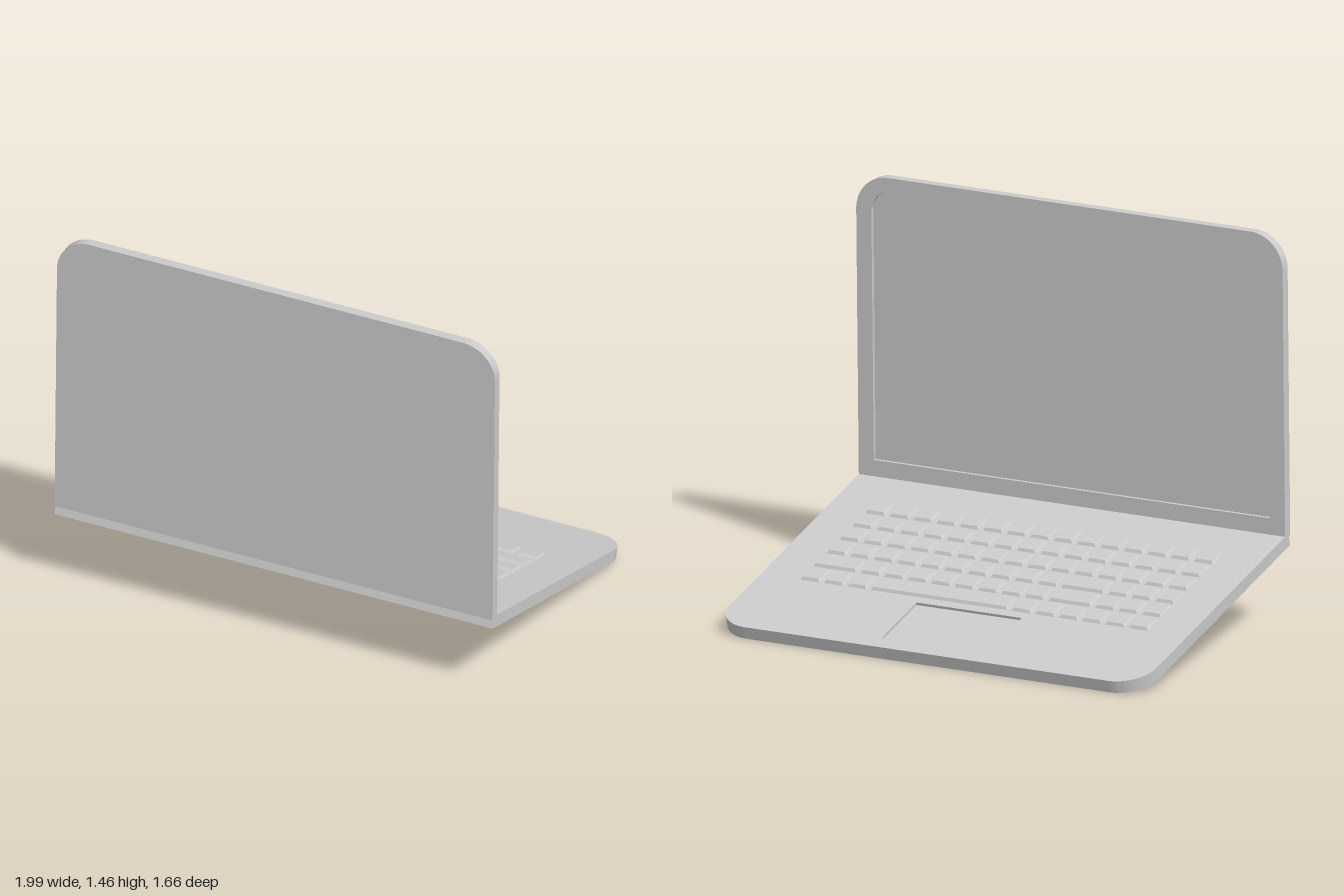
import * as THREE from 'three';
import { toCreasedNormals } from 'three/addons/utils/BufferGeometryUtils.js';

const WIDTH = 1.74, DEPTH = 1.133, LID_HEIGHT = 1.122, CORNER = 0.13;
const BASE_T = 0.047, LID_T = 0.037, RECESS = 0.01;
const material = new THREE.MeshStandardMaterial({ color: 0xcccccc });

// Rectangle outline with separate radii for the lower (r0) and upper (r1) corners
function outline(path, x0, y0, x1, y1, r0, r1) {
  path.moveTo(x0 + r0, y0);
  path.lineTo(x1 - r0, y0);
  if (r0) path.absarc(x1 - r0, y0 + r0, r0, -Math.PI / 2, 0);
  path.lineTo(x1, y1 - r1);
  if (r1) path.absarc(x1 - r1, y1 - r1, r1, 0, Math.PI / 2);
  path.lineTo(x0 + r1, y1);
  if (r1) path.absarc(x0 + r1, y1 - r1, r1, Math.PI / 2, Math.PI);
  path.lineTo(x0, y0 + r0);
  if (r0) path.absarc(x0 + r0, y0 + r0, r0, Math.PI, Math.PI * 1.5);
  return path;
}

// Flat panel with two rounded far corners, spanning z0..z1, with an optional opening
function panel(height, z0, z1, hole) {
  const shape = outline(new THREE.Shape(), -WIDTH / 2, 0, WIDTH / 2, height, 0, CORNER);
  if (hole) shape.holes.push(hole);
  const geo = new THREE.ExtrudeGeometry(shape, { depth: z1 - z0, bevelEnabled: false, curveSegments: 10 });
  geo.translate(0, 0, z0);
  return toCreasedNormals(geo, 0.6);
}

function add(parent, name, geo) {
  const mesh = new THREE.Mesh(geo, material);
  mesh.name = name;
  parent.add(mesh);
  return mesh;
}

// Keycap: a low box whose top is drawn in to give sloping sides
function keyGeometry(w, d) {
  const h = 0.01, inset = 0.008;
  const geo = new THREE.BoxGeometry(w, h, d).toNonIndexed();
  const p = geo.attributes.position;
  for (let i = 0; i < p.count; i++) {
    if (p.getY(i) > 0) {
      p.setX(i, p.getX(i) - Math.sign(p.getX(i)) * inset);
      p.setZ(i, p.getZ(i) - Math.sign(p.getZ(i)) * inset);
    }
  }
  geo.translate(0, h / 2, 0);
  geo.computeVertexNormals();
  return geo;
}

function createKeyboard() {
  const keyboard = new THREE.Group();
  keyboard.name = 'keyboard';
  const pitchX = 0.0957, pitchZ = 0.099, gap = 0.018;
  const ones = (n) => Array(n).fill(1);
  // Key widths in each row, from the hinge towards the user
  const rows = [
    ones(15), ones(15), ones(15),
    [...ones(3), 2, ...ones(10)],
    [...ones(3), 2, ...ones(8), 2],
    [...ones(6), 6, ...ones(3)],
  ];
  rows.forEach((row, r) => {
    let column = -7.5;
    for (const span of row) {
      const key = add(keyboard, span === 6 ? 'spaceBar' : 'key', keyGeometry(span * pitchX - gap, pitchZ - gap));
      key.position.set((column + span / 2) * pitchX, BASE_T, -0.234 - r * pitchZ);
      column += span;
    }
  });
  return keyboard;
}

// Tilted lower half: slab, top plate with trackpad recess, keys
function createBase() {
  const base = new THREE.Group();
  base.name = 'base';
  const trackpad = outline(new THREE.Path(), -0.215, 0.807, 0.215, 1.072, 0, 0);
  add(base, 'baseSlab', panel(DEPTH, 0, BASE_T - RECESS).rotateX(-Math.PI / 2));
  add(base, 'topPlate', panel(DEPTH, BASE_T - RECESS, BASE_T, trackpad).rotateX(-Math.PI / 2));
  base.add(createKeyboard());
  base.rotation.x = -THREE.MathUtils.degToRad(15.35);
  return base;
}

// Upright half: back shell and bezel framing the sunken screen
function createLid() {
  const lid = new THREE.Group();
  lid.name = 'lid';
  const side = WIDTH / 2 - 0.062;
  const opening = outline(new THREE.Path(), -side, 0.066, side, LID_HEIGHT - 0.045, 0, 0.09);
  const step = -LID_T + 0.014;
  add(lid, 'lidShell', panel(LID_HEIGHT, step, 0));
  add(lid, 'screenBezel', panel(LID_HEIGHT, -LID_T, step, opening));
  lid.position.y = 0.034;
  lid.rotation.x = -THREE.MathUtils.degToRad(1.1);
  return lid;
}

export function createModel() {
  const model = new THREE.Group();
  model.name = 'laptop';
  // Turned about the vertical, with the hinge edge raised
  const body = new THREE.Group();
  body.name = 'body';
  body.add(createBase(), createLid());
  body.position.set(-0.2, 0.3, 0.48);
  body.rotation.y = -THREE.MathUtils.degToRad(23);
  model.add(body);
  return model;
}
